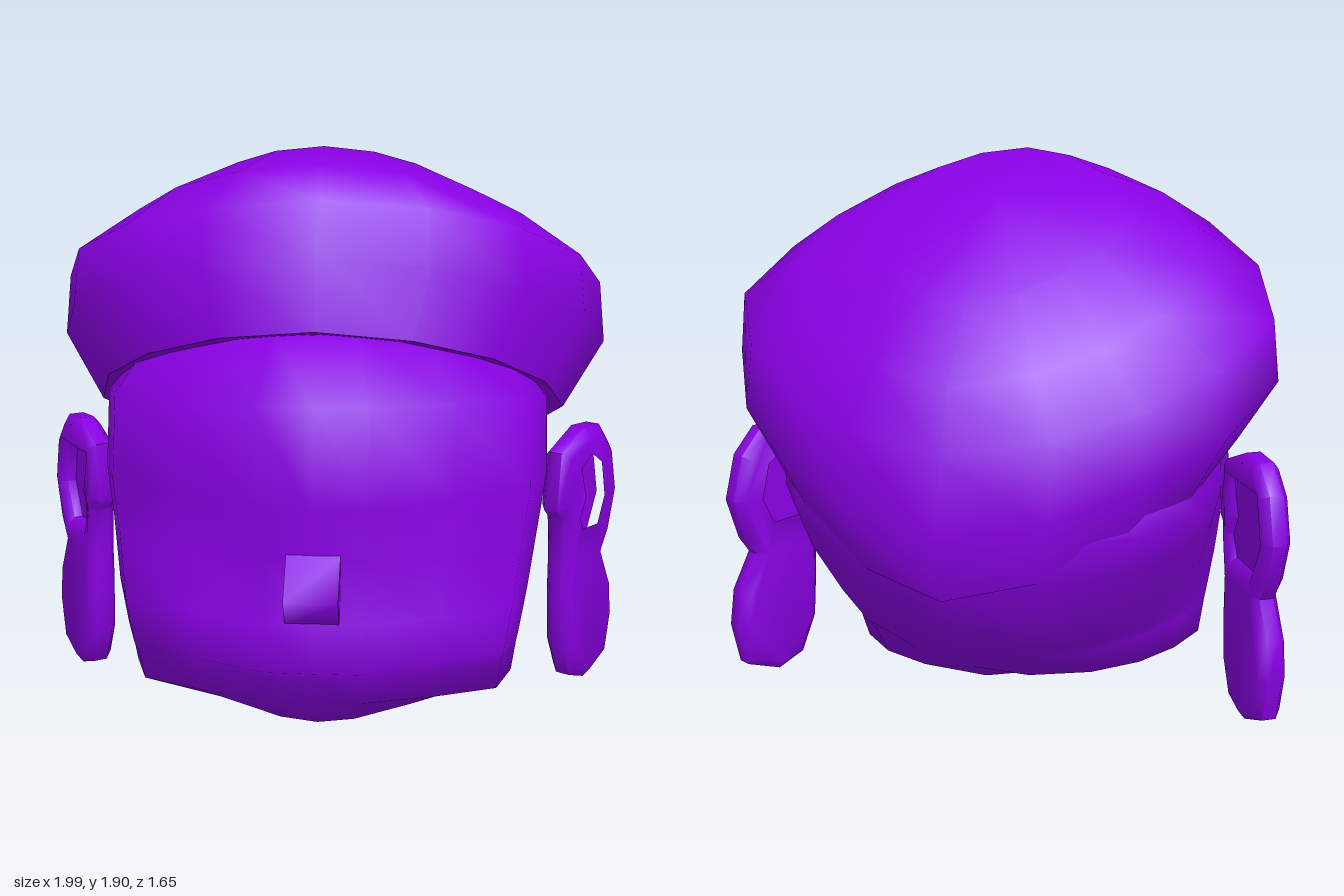
import * as THREE from 'three';
import { toCreasedNormals } from 'three/addons/utils/BufferGeometryUtils.js';

const material = new THREE.MeshStandardMaterial({ color: 0x8900e4 });

function mesh(name, geometry) {
  const m = new THREE.Mesh(geometry, material);
  m.name = name;
  return m;
}

// Skin closed rings (each running from +z towards +x), stacked upwards
function loft(rings, bottom, top) {
  const n = rings[0].length, pts = rings.flat(), index = [];
  for (let r = 0; r < rings.length - 1; r++) {
    for (let i = 0; i < n; i++) {
      const a = r * n + i, b = r * n + (i + 1) % n;
      index.push(a, b, a + n, b, b + n, a + n);
    }
  }
  const last = (rings.length - 1) * n;
  const close = (point, start, up) => {
    const c = pts.push(point) - 1;
    for (let i = 0; i < n; i++) {
      const a = start + i, b = start + (i + 1) % n;
      index.push(...(up ? [a, b, c] : [b, a, c]));
    }
  };
  if (bottom) close(bottom, 0, false);
  if (top) close(top, last, true);
  const g = new THREE.BufferGeometry().setFromPoints(pts);
  g.setIndex(index);
  g.computeVertexNormals();
  return g;
}

// Head: half outline as [width fraction, back-to-front fraction]
const halfOutline = [[0, 1], [0.23, 1], [0.58, 0.93], [0.9, 0.86], [0.98, 0.72],
  [1, 0.52], [0.95, 0.33], [0.78, 0.16], [0.43, 0.03], [0, 0]];
const outline = [...halfOutline, ...halfOutline.slice(1, -1).reverse().map(([x, t]) => [-x, t])];

function createHead() {
  // front z, front y, back z, back y, half width, rise at sides, roundness of face, pinch behind jaw
  const sections = [
    [0.42, 0.035, 0.1, 0.08, 0.2, 0, 0, 0],
    [0.56, 0.06, -0.27, 0.15, 0.52, 0.06, 0.05, 0.4],
    [0.70, 0.20, -0.42, 0.24, 0.645, -0.05, 0.1, 0.5],
    [0.70, 0.27, -0.49, 0.30, 0.66, 0, 0.04, 0.45],
    [0.755, 0.31, -0.54, 0.34, 0.665, 0, 0.04, 0.4],
    [0.765, 0.47, -0.63, 0.46, 0.69, 0, 0.02, 0.25],
    [0.70, 0.67, -0.71, 0.63, 0.725, 0, 0.06, 0.1],
    [0.775, 0.85, -0.72, 0.75, 0.75, 0, 0.18, 0],
    [0.72, 1.15, -0.70, 0.88, 0.745, 0, 0.2, 0],
    [0.57, 1.35, -0.60, 1.0, 0.6, 0, 0.2, 0],
  ];
  const rings = sections.map(([fz, fy, bz, by, w, rise, round, pinch]) => outline.map(([x, t]) =>
    new THREE.Vector3(
      x * w * (1 - pinch * Math.max(0, 0.72 - t)),
      by + (fy - by) * t + rise * Math.abs(x),
      bz + (fz - bz) * t - round * x * x * t)));
  return mesh('head', loft(rings, new THREE.Vector3(0, 0.035, 0.3), new THREE.Vector3(0, 1.35, 0)));
}

// Cap: oval rings, drawn in on the diagonals, built flat and then tilted back
function capRing([y, front, back, w]) {
  return Array.from({ length: 16 }, (_, i) => {
    const a = i / 16 * Math.PI * 2;
    const k = 1 - (Math.cos(a) < 0 ? 0.09 : 0.03) * Math.abs(Math.sin(2 * a));
    return new THREE.Vector3(Math.sin(a) * w * k, y, (front + back) / 2 + Math.cos(a) * k * (front - back) / 2);
  });
}

function createCap() {
  const rim = [0, 0.82, -0.82, 0.8];
  const crown = [rim, [0.22, 0.874, -0.77, 0.935], [0.4, 0.89, -0.6, 0.915],
    [0.54, 0.82, -0.43, 0.7], [0.65, 0.71, -0.15, 0.42]].map(capRing);
  const under = [[0.03, 0.7, -0.7, 0.68], rim].map(capRing);
  const cap = new THREE.Group();
  cap.name = 'cap';
  cap.add(mesh('capCrown', loft(crown, null, new THREE.Vector3(0, 0.715, 0.33))));
  cap.add(mesh('capUnderside', loft(under, null, null)));
  cap.position.set(0, 0.985, -0.05);
  cap.rotation.x = -0.502;
  return cap;
}

// Nose: wedge profile in (z, y), extruded across x
function createNose() {
  const profile = [[0.6, 0.44], [0.755, 0.47], [0.82, 0.565], [0.71, 0.68], [0.6, 0.74]];
  const shape = new THREE.Shape(profile.map(p => new THREE.Vector2(...p)));
  const g = new THREE.ExtrudeGeometry(shape, { depth: 0.17, bevelEnabled: false });
  g.rotateY(-Math.PI / 2).translate(0.085, 0, 0);
  return mesh('nose', toCreasedNormals(g, 1.45));
}

// Ear outlines as [z, y]
const earOutline = [[0.11, 0.47], [0.12, 0.63], [0.155, 0.67], [0.14, 0.87], [0.01, 0.93], [-0.08, 0.92],
  [-0.15, 0.83], [-0.185, 0.67], [-0.145, 0.52], [-0.11, 0.46], [-0.17, 0.33], [-0.185, 0.2],
  [-0.155, 0.05], [-0.04, 0], [0.05, 0.04], [0.1, 0.17], [0.11, 0.35]];
const earHollow = [[0.05, 0.55], [0.08, 0.62], [0.05, 0.69], [0.085, 0.82], [-0.01, 0.87],
  [-0.09, 0.81], [-0.12, 0.66], [-0.07, 0.54]];

function createEar(side) {
  const angle = 1.01;
  const flat = pts => pts.map(([z, y]) => new THREE.Vector2(-side * z / Math.sin(angle), y));
  const shape = new THREE.Shape(flat(earOutline));
  shape.holes.push(new THREE.Path(flat(earHollow)));
  const body = new THREE.ExtrudeGeometry(shape, {
    depth: 0.05, bevelThickness: 0.025, bevelSize: 0.03, bevelOffset: -0.03, bevelSegments: 1,
  });
  body.translate(0, 0, -0.025);
  // Floor of the hollow, seated inside the rim
  const floor = new THREE.ExtrudeGeometry(
    new THREE.Shape(flat(earHollow.map(([z, y]) => [z * 1.1, 0.7 + (y - 0.7) * 1.05]))),
    { depth: 0.02, bevelEnabled: false });
  floor.translate(0, 0, -0.025);
  const ear = new THREE.Group();
  ear.name = side > 0 ? 'leftEar' : 'rightEar';
  ear.add(mesh('earBody', toCreasedNormals(body, 0.95)), mesh('earHollow', floor));
  ear.position.x = side * 0.855;
  ear.rotation.y = side * angle;
  return ear;
}

export function createModel() {
  const model = new THREE.Group();
  model.name = 'cappedHead';
  model.add(createHead(), createNose(), createCap(), createEar(1), createEar(-1));
  return model;
}
